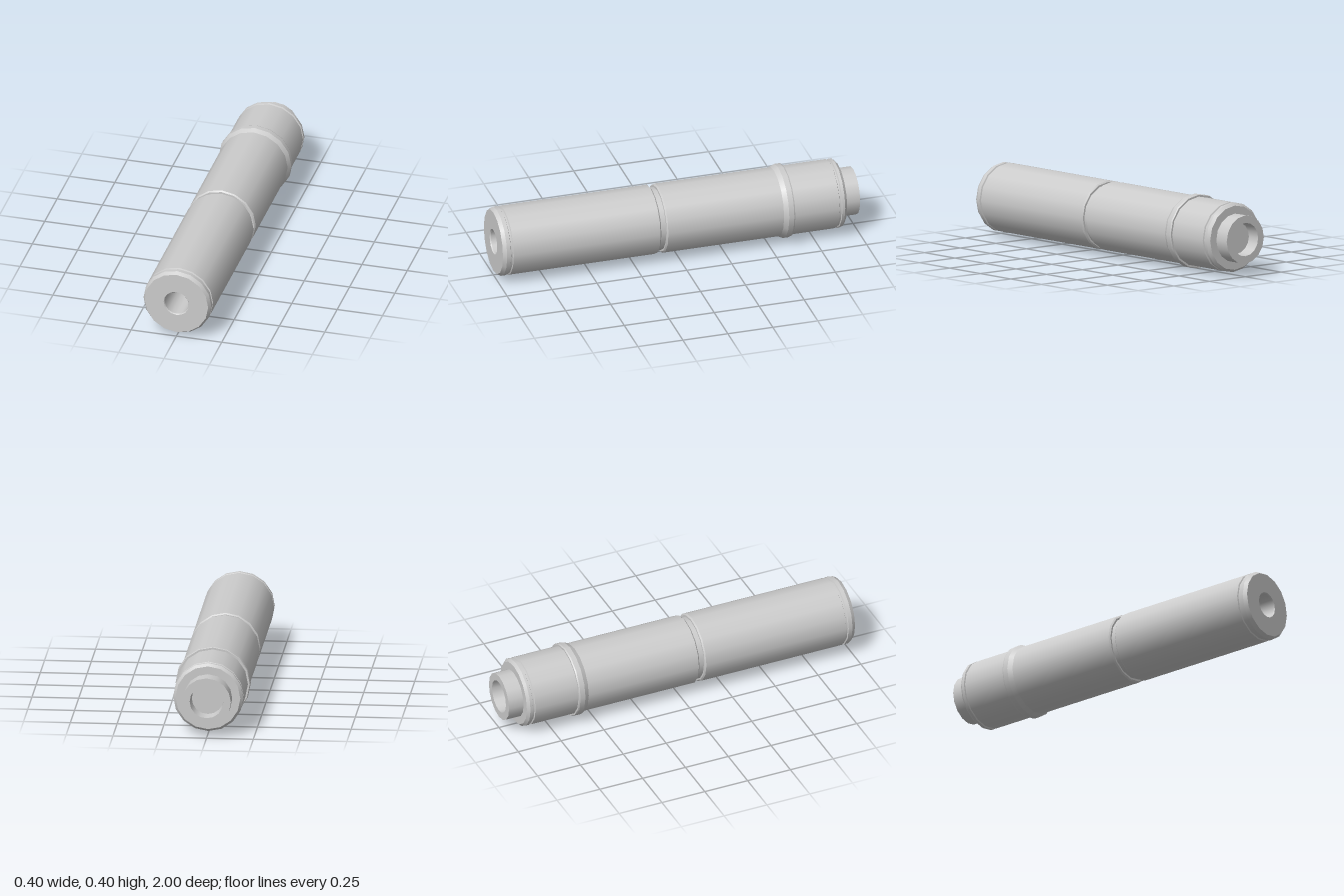
import * as THREE from 'three';
import { mergeGeometries } from 'three/addons/utils/BufferGeometryUtils.js';

const SIDES = 16;
const material = new THREE.MeshStandardMaterial({ color: 0xcccccc });

// Turns a [radius, z] profile (back to front): smooth around, crisp between bands.
function turned(name, profile) {
  const bands = [];
  for (let i = 0; i < profile.length - 1; i++) {
    const points = [profile[i], profile[i + 1]].map(([r, z]) => new THREE.Vector2(r, z));
    bands.push(new THREE.LatheGeometry(points, SIDES));
  }
  const geometry = mergeGeometries(bands);
  geometry.rotateX(Math.PI / 2);
  const mesh = new THREE.Mesh(geometry, material);
  mesh.name = name;
  return mesh;
}

export function createModel() {
  const group = new THREE.Group();
  group.name = 'cylindricalHandle';

  group.add(
    // Hollow neck at the back
    turned('rearNeck', [
      [0, -0.93], [0.085, -0.93], [0.09, -1], [0.13, -1], [0.13, -0.915],
    ]),
    // Chamfered rear cap and the thin groove in front of it
    turned('rearCap', [
      [0.13, -0.915], [0.173, -0.915], [0.187, -0.9], [0.187, -0.885],
      [0.18, -0.882], [0.18, -0.873], [0.187, -0.87],
    ]),
    // Rear barrel with its raised collar
    turned('rearBarrel', [[0.187, -0.87], [0.187, -0.62]]),
    turned('collar', [
      [0.187, -0.62], [0.197, -0.62], [0.2, -0.613], [0.2, -0.585], [0.187, -0.56],
    ]),
    turned('middleBarrel', [[0.187, -0.56], [0.187, 0.083]]),
    // Groove between the two barrels
    turned('middleGroove', [
      [0.187, 0.083], [0.18, 0.09], [0.17, 0.09], [0.17, 0.12], [0.18, 0.12], [0.187, 0.127],
    ]),
    turned('frontBarrel', [[0.187, 0.127], [0.187, 0.943]]),
    // Front cap with a chamfered rim and a deep bore
    turned('frontCap', [
      [0.187, 0.943], [0.18, 0.946], [0.18, 0.955], [0.187, 0.958], [0.187, 0.98], [0.175, 1],
      [0.07, 1], [0.066, 0.994],
    ]),
    turned('frontBore', [[0.066, 0.994], [0.066, 0.75], [0, 0.75]]),
  );

  group.children.forEach((part) => { part.position.y = 0.2; });
  return group;
}
